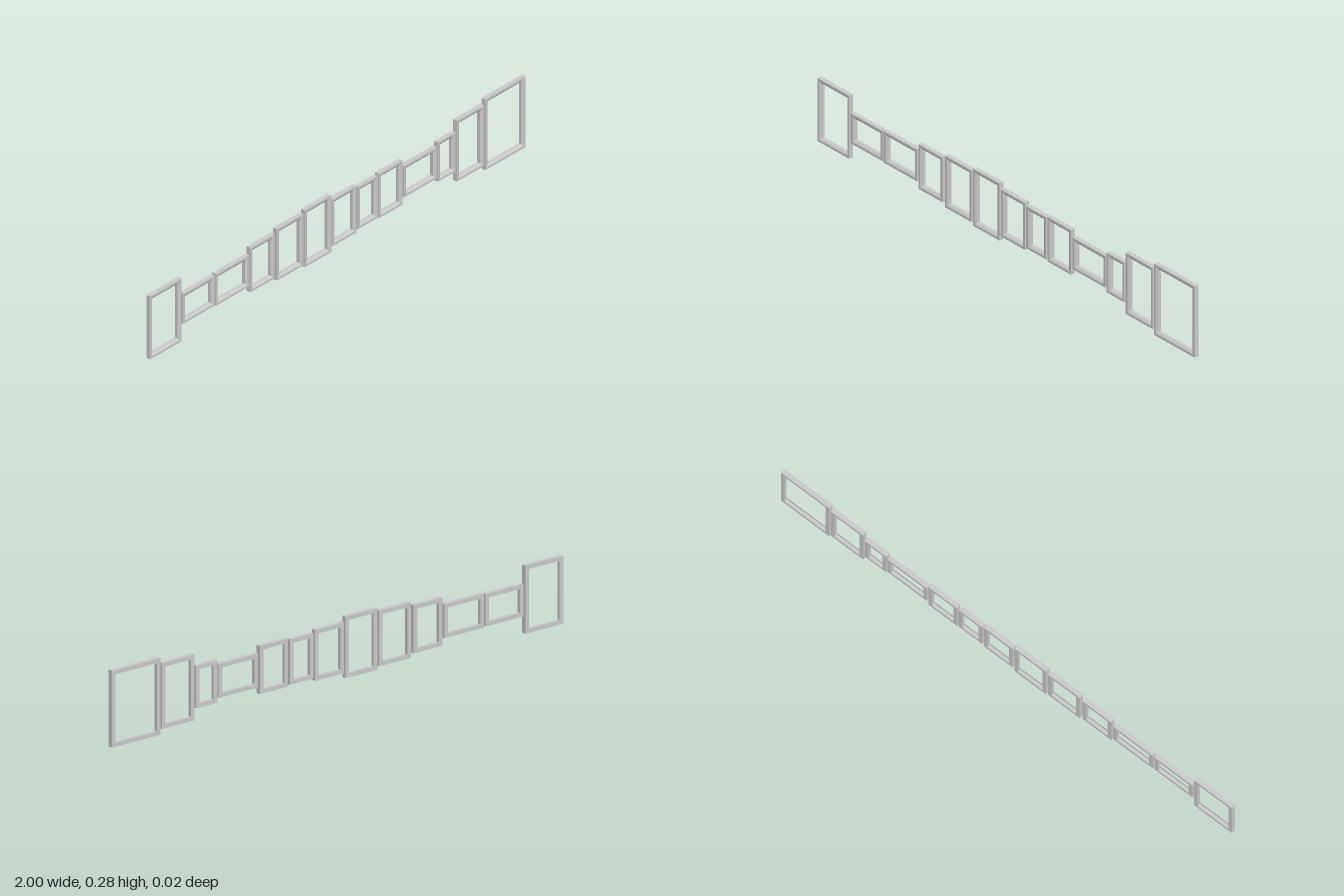
import * as THREE from 'three';

// Moulding cross-section: [inset from the outer edge, z]
const PROFILE = [
  [0, -0.009], [0, 0.009], [0.009, 0.009], [0.016, 0.004], [0.016, -0.009],
];

// Each frame: [left, right, height]; all share one horizontal centre line
const CENTRE_Y = 0.142;
const FRAMES = [
  [-1.0, -0.832, 0.252], [-0.824, -0.656, 0.12], [-0.649, -0.473, 0.126],
  [-0.465, -0.337, 0.178], [-0.325, -0.184, 0.206], [-0.176, -0.035, 0.228],
  [-0.028, 0.1, 0.188], [0.107, 0.212, 0.168], [0.219, 0.345, 0.178],
  [0.352, 0.527, 0.126], [0.533, 0.627, 0.158], [0.634, 0.778, 0.244],
  [0.785, 1.0, 0.284],
];

// Sweep the profile round a rectangle with mitred corners
function frameGeometry(width, height) {
  const corners = [[-1, -1], [1, -1], [1, 1], [-1, 1]];
  const point = (corner, [inset, z]) => {
    const [sx, sy] = corners[corner % 4];
    return [sx * (width / 2 - inset), sy * (height / 2 - inset), z];
  };
  const positions = [];
  for (let side = 0; side < 4; side++) {
    PROFILE.forEach((p, i) => {
      const q = PROFILE[(i + 1) % PROFILE.length];
      const a = point(side, p), b = point(side + 1, p);
      const c = point(side + 1, q), d = point(side, q);
      positions.push(...a, ...b, ...c, ...a, ...c, ...d);
    });
  }
  const geometry = new THREE.BufferGeometry();
  geometry.setAttribute('position', new THREE.Float32BufferAttribute(positions, 3));
  geometry.computeVertexNormals();
  return geometry;
}

export function createModel() {
  const group = new THREE.Group();
  group.name = 'pictureFrameRow';
  const material = new THREE.MeshStandardMaterial({ color: 0xcccccc, flatShading: true });

  // Row of open picture frames
  FRAMES.forEach(([left, right, height], i) => {
    const frame = new THREE.Mesh(frameGeometry(right - left, height), material);
    frame.name = `pictureFrame${i + 1}`;
    frame.position.set((left + right) / 2, CENTRE_Y, 0);
    group.add(frame);
  });
  return group;
}
